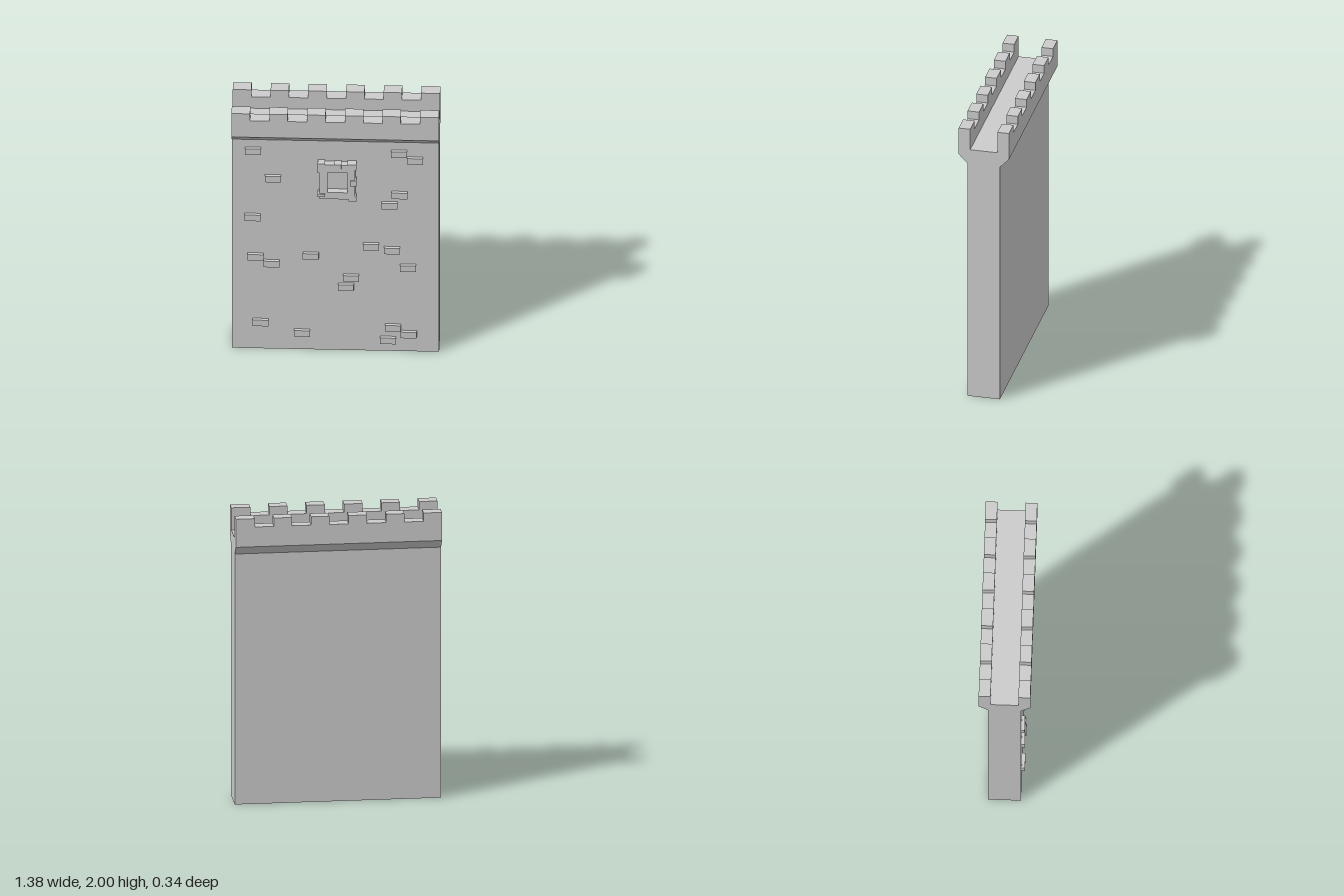
import * as THREE from 'three';

export function createModel() {
  const group = new THREE.Group();
  const material = new THREE.MeshStandardMaterial({ color: 0xcccccc, flatShading: true });

  const add = (geometry, name, parent = group) => {
    const mesh = new THREE.Mesh(geometry, material);
    mesh.name = name;
    parent.add(mesh);
    return mesh;
  };
  // Box given by its minimum and maximum on each axis
  const block = (name, x0, x1, y0, y1, z0, z1, parent) =>
    add(new THREE.BoxGeometry(x1 - x0, y1 - y0, z1 - z0), name, parent)
      .position.set((x0 + x1) / 2, (y0 + y1) / 2, (z0 + z1) / 2);

  const half = 0.69, face = 0.11, outer = 0.172, inner = 0.093;
  const notchY = 1.942, topY = 2;

  // Wall with flared parapet and walkway: one cross-section swept along x
  const section = new THREE.Shape([
    [-face, 0], [face, 0], [face, 1.74], [outer, 1.805], [outer, notchY], [inner, notchY],
    [inner, 1.847], [-inner, 1.847], [-inner, notchY], [-outer, notchY], [-outer, 1.805], [-face, 1.74],
  ].map(([z, y]) => new THREE.Vector2(-z, y)));
  const wall = new THREE.ExtrudeGeometry(section, { depth: half * 2, bevelEnabled: false });
  wall.translate(0, 0, -half).rotateY(Math.PI / 2);
  add(wall, 'wall');

  // Merlons on both parapets
  const merlons = new THREE.Group();
  merlons.name = 'merlons';
  group.add(merlons);
  const spans = [[-half, -0.566], [-0.438, -0.316], [-0.189, -0.064], [0.064, 0.187], [0.314, 0.436], [0.563, half]];
  for (const [x0, x1] of spans) {
    block('frontMerlon', x0, x1, notchY, topY, inner, outer, merlons);
    block('backMerlon', x0, x1, notchY, topY, -outer, -inner, merlons);
  }

  // Raised bricks scattered over the front
  const bricks = new THREE.Group();
  bricks.name = 'bricks';
  group.add(bricks);
  const centres = [
    [-0.548, 1.653], [0.424, 1.651], [0.53, 1.597], [-0.416, 1.427], [0.427, 1.307],
    [0.36, 1.22], [-0.551, 1.1], [0.236, 0.875], [0.376, 0.846], [-0.164, 0.787],
    [-0.531, 0.771], [-0.424, 0.718], [0.482, 0.702], [0.103, 0.61], [0.069, 0.533],
    [-0.498, 0.225], [-0.223, 0.144], [0.382, 0.201], [0.488, 0.148], [0.35, 0.096],
  ];
  for (const [x, y] of centres)
    block('brick', x - 0.053, x + 0.053, y - 0.025, y + 0.025, face - 0.01, 0.132, bricks);

  // Window frame around a shallow opening
  const windowGroup = new THREE.Group();
  windowGroup.name = 'window';
  group.add(windowGroup);
  const rect = (Type, x0, x1, y0, y1) =>
    new Type([[x0, y0], [x1, y0], [x1, y1], [x0, y1]].map(p => new THREE.Vector2(...p)));
  const frame = rect(THREE.Shape, -0.106, 0.132, 1.288, 1.572);
  frame.holes.push(rect(THREE.Path, -0.053, 0.08, 1.343, 1.508));
  add(new THREE.ExtrudeGeometry(frame, { depth: 0.043, bevelEnabled: false }), 'windowFrame', windowGroup)
    .position.z = face;

  // Rough stones set into the frame edges
  const stones = [
    [-0.117, -0.069, 1.508, 1.584, 0.158],
    [-0.117, -0.069, 1.312, 1.335, 0.164],
    [-0.008, 0.04, 1.545, 1.58, 0.16],
    [0.08, 0.14, 1.535, 1.58, 0.16],
    [0.1, 0.14, 1.402, 1.448, 0.162],
    [0.088, 0.14, 1.274, 1.31, 0.156],
  ];
  for (const [x0, x1, y0, y1, z] of stones)
    block('frameStone', x0, x1, y0, y1, face, z, windowGroup);

  return group;
}
